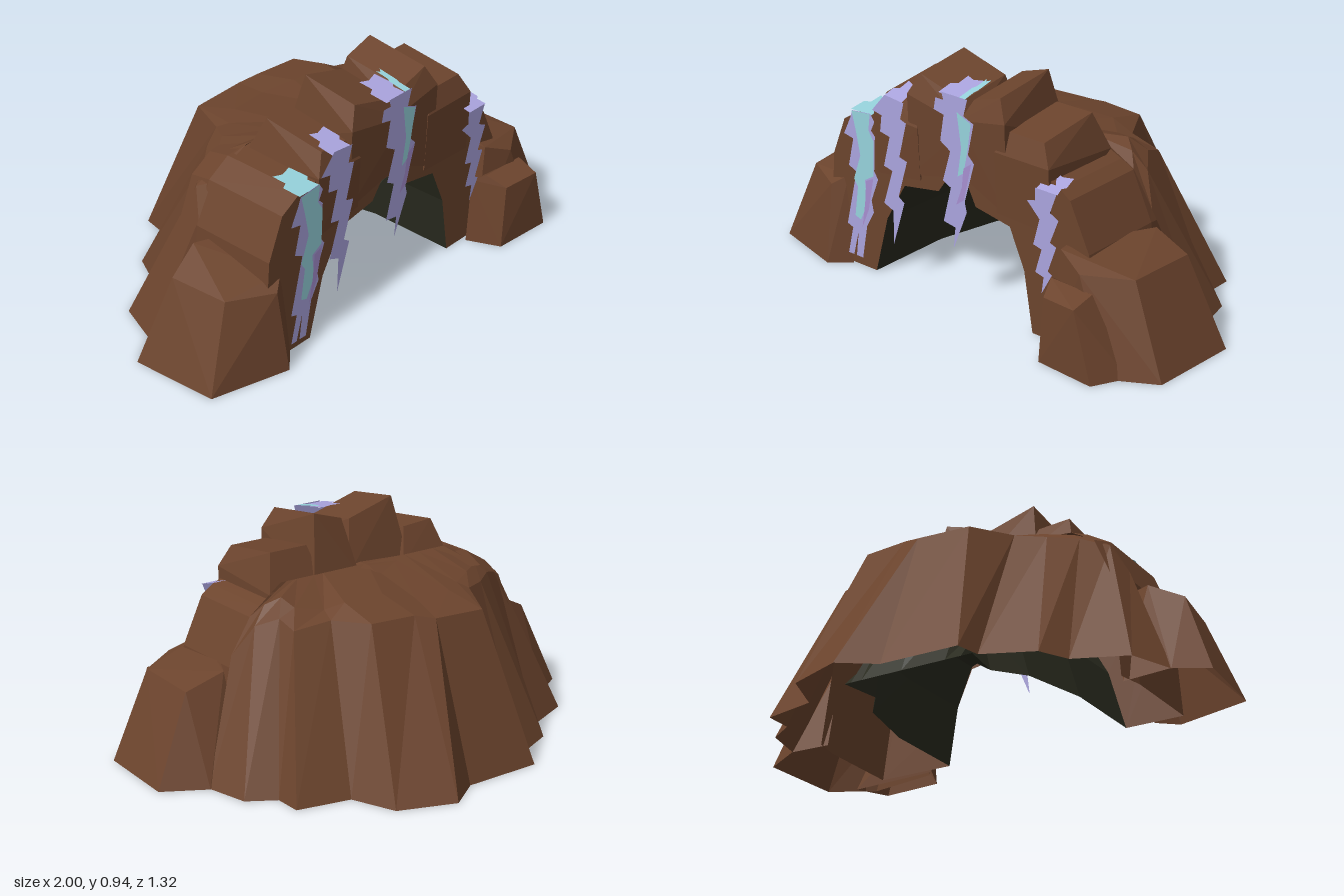
import * as THREE from 'three';
import { ConvexGeometry } from 'three/addons/geometries/ConvexGeometry.js';

const mat = (name, color) => new THREE.MeshStandardMaterial({ name, color, side: THREE.DoubleSide });

export function createModel() {
  const group = new THREE.Group();
  const rockBrown = mat('rock brown', 0x6c442d);
  const caveDark = mat('cave dark', 0x2a2b1f);
  const lavender = mat('lavender vine', 0xaaa4de);
  const teal = mat('teal vine', 0x96d2dc);
  const purple = mat('purple vine', 0xa78fd0);

  const add = (name, geo, material) => {
    const mesh = new THREE.Mesh(geo, material);
    mesh.name = name;
    group.add(mesh);
    return mesh;
  };

  const fromTriangles = (numbers) => {
    const geo = new THREE.BufferGeometry();
    geo.setAttribute('position', new THREE.Float32BufferAttribute(numbers, 3));
    geo.computeVertexNormals();
    return geo;
  };

  // Flat-shaded skin stretched over rows of equal length
  const loft = (rows) => {
    const out = [];
    for (let r = 0; r < rows.length - 1; r++) {
      for (let i = 0; i < rows[r].length - 1; i++) {
        const a = rows[r][i], b = rows[r][i + 1];
        const c = rows[r + 1][i + 1], d = rows[r + 1][i];
        out.push(...a, ...d, ...b, ...b, ...d, ...c);
      }
    }
    return fromTriangles(out);
  };

  const shapeOf = (pts) => new THREE.Shape(pts.map(([x, y]) => new THREE.Vector2(x, y)));

  // Front arch: a face with the cave mouth cut out, and a skin running back into the mound
  const opening = [[0.37, 0], [0.33, 0.25], [0.26, 0.41], [0.09, 0.44], [0.05, 0.52],
    [-0.05, 0.52], [-0.1, 0.45], [-0.28, 0.42], [-0.38, 0.25], [-0.45, 0]];
  const outline = [[-0.7, 0], [-0.67, 0.45], [-0.6, 0.62], [-0.5, 0.68], [-0.4, 0.69], [0.0, 0.71],
    [0.44, 0.66], [0.5, 0.635], [0.55, 0.6], [0.64, 0.41], [0.7, 0]];
  const face = add('archFace', new THREE.ShapeGeometry(shapeOf([...outline, ...opening])), rockBrown);
  face.position.z = 0.48;
  const skinRows = [[0.48, 1, 1], [0.11, 1, 1], [0, 0.97, 0.95]]
    .map(([z, sx, sy]) => outline.map(([x, y]) => [x * sx, y * sy, z]));
  add('archSkin', loft(skinRows), rockBrown);

  // Ribbed mound behind the arch: ground line, rim, shelf, plateau
  const moundBase = [[-0.87, 0.04], [-0.8, -0.15], [-0.59, -0.24], [-0.53, -0.36], [-0.33, -0.45],
    [-0.31, -0.555], [0.02, -0.56], [0.16, -0.66], [0.39, -0.575], [0.46, -0.39],
    [0.68, -0.345], [0.68, -0.23], [0.79, -0.16], [0.83, 0.02]].map(([x, z]) => [x, 0, z]);
  const moundRim = [[-0.67, 0.48, 0.12], [-0.62, 0.58, 0.06], [-0.52, 0.61, 0], [-0.42, 0.61, -0.08],
    [-0.31, 0.62, -0.14], [-0.22, 0.6, -0.33], [0.01, 0.61, -0.33], [0.09, 0.63, -0.3],
    [0.28, 0.63, -0.28], [0.36, 0.62, -0.13], [0.51, 0.6, -0.1], [0.52, 0.63, -0.02],
    [0.58, 0.59, 0.06], [0.65, 0.47, 0.12]];
  const moundShelf = [[-0.6, 0.61, 0.12], [-0.56, 0.63, 0.08], [-0.48, 0.65, 0.03], [-0.38, 0.65, -0.04],
    [-0.28, 0.64, -0.1], [-0.19, 0.64, -0.16], [-0.02, 0.64, -0.17], [0.1, 0.67, -0.11],
    [0.28, 0.67, -0.11], [0.34, 0.64, -0.06], [0.45, 0.66, -0.02], [0.47, 0.69, 0.04],
    [0.52, 0.66, 0.08], [0.56, 0.61, 0.12]];
  const moundTop = moundShelf.map(([x]) => [x * 0.72, 0.71, 0.14]);
  add('mound', loft([moundBase, moundRim, moundShelf, moundTop]), rockBrown);

  // Hollow interior reaching back to the ground line
  const caveProfile = [[0.37, 0], [0.33, 0.25], [0.26, 0.42], [0, 0.53], [-0.28, 0.43], [-0.38, 0.25], [-0.45, 0]];
  const caveRows = [[0.48, 1, 1], [0.1, 1, 0.98], [-0.18, 0.85, 0.92], [-0.3, 0.62, 0.75], [-0.47, 0.68, 0]]
    .map(([z, sx, sy]) => caveProfile.map(([x, y]) => [(x + 0.04) * sx - 0.04, y * sy, z]));
  add('caveInterior', loft(caveRows), caveDark);

  // Boulder shell: hull of a few corners, open underneath and where it is buried in the mound
  const boulder = (name, pts) => {
    const hull = new ConvexGeometry(pts.map((p) => new THREE.Vector3(...p))).attributes.position;
    const kept = [];
    const tri = new THREE.Triangle();
    const normal = new THREE.Vector3();
    const mid = new THREE.Vector3();
    for (let i = 0; i < hull.count; i += 3) {
      tri.setFromAttributeAndIndices(hull, i, i + 1, i + 2);
      tri.getNormal(normal);
      tri.getMidpoint(mid);
      const inward = normal.x * Math.sign(mid.x) < -0.6 && mid.z < 0.45 && mid.y < 0.4;
      if (normal.y < -0.95 || inward) continue;
      for (const v of [tri.a, tri.b, tri.c]) kept.push(v.x, v.y, v.z);
    }
    add(name, fromTriangles(kept), rockBrown);
  };

  boulder('rightFrontBoulder', [[-1, 0, 0.11], [-0.97, 0, 0.47], [-0.65, 0, 0.56], [-0.57, 0, 0.49], [-0.66, 0, 0.05],
    [-0.87, 0, 0.03], [-0.87, 0.35, 0.18], [-0.84, 0.34, 0.42], [-0.66, 0.33, 0.51], [-0.6, 0.37, 0.47],
    [-0.73, 0.42, 0.15], [-0.6, 0.42, 0.2]]);
  boulder('leftFrontBoulder', [[1, 0, 0.11], [0.98, 0, 0.48], [0.8, 0, 0.58], [0.5, 0, 0.53], [0.66, 0, 0.02], [0.83, 0, 0.01],
    [0.84, 0.355, 0.15], [0.83, 0.36, 0.45], [0.66, 0.37, 0.56], [0.54, 0.42, 0.52], [0.53, 0.42, 0.45], [0.68, 0.41, 0.13]]);
  boulder('leftFootStone', [[0.79, 0, 0.655], [0.53, 0, 0.635], [0.47, 0, 0.5], [0.86, 0, 0.52],
    [0.71, 0.28, 0.655], [0.55, 0.27, 0.63], [0.52, 0.31, 0.55], [0.72, 0.31, 0.56], [0.49, 0.28, 0.5]]);

  // Crown stones: [x0, x1, top at x0, top at x1, bottom at x0, bottom at x1, back z]
  [[-0.42, -0.19, 0.82, 0.81, 0.44, 0.47, 0.13], [-0.24, 0.06, 0.94, 0.88, 0.48, 0.55, 0.16],
    [0.03, 0.25, 0.9, 0.94, 0.55, 0.45, 0.13], [0.2, 0.46, 0.82, 0.82, 0.45, 0.44, 0.13]
  ].forEach(([x0, x1, t0, t1, b0, b1, back], i) => {
    const inset = 0.045;
    boulder('crownStone' + (i + 1), [
      [x0, b0, 0.485], [x1, b1, 0.485], [x0, t0 - 0.12, 0.495], [x1, t1 - 0.12, 0.495],
      [x0 + inset, t0 - 0.035, 0.465], [x1 - inset, t1 - 0.035, 0.465],
      [x0 + inset, t0, back + 0.06], [x1 - inset, t1, back + 0.06],
      [x0, 0.67, back], [x1, 0.67, back]]);
  });

  // Hanging vines: jagged flat sheets
  const sheet = (name, material, z, pts) => {
    const mesh = add(name, new THREE.ShapeGeometry(shapeOf(pts)), material);
    mesh.position.z = z;
    return mesh;
  };
  sheet('vineFarRight', lavender, 0.505, [[-0.53, 0.68], [-0.43, 0.69], [-0.41, 0.66], [-0.43, 0.62], [-0.41, 0.6],
    [-0.42, 0.45], [-0.4, 0.42], [-0.44, 0.32], [-0.43, 0.27], [-0.47, 0.2], [-0.5, 0.05], [-0.535, 0.05],
    [-0.52, 0.16], [-0.55, 0.05], [-0.58, 0.05], [-0.55, 0.17], [-0.58, 0.18], [-0.52, 0.42], [-0.56, 0.44],
    [-0.53, 0.56], [-0.58, 0.57], [-0.54, 0.65]]);
  sheet('vineFarRightTeal', teal, 0.509, [[-0.53, 0.68], [-0.43, 0.69], [-0.44, 0.62], [-0.415, 0.58], [-0.42, 0.43],
    [-0.47, 0.4], [-0.46, 0.3], [-0.5, 0.22], [-0.53, 0.23], [-0.51, 0.36], [-0.53, 0.39], [-0.49, 0.5], [-0.51, 0.6]]);
  sheet('vineFarRightPurple', purple, 0.512, [[-0.46, 0.4], [-0.42, 0.42], [-0.45, 0.28], [-0.49, 0.19], [-0.47, 0.3]]);
  sheet('vineRight', lavender, 0.505, [[-0.35, 0.79], [-0.25, 0.78], [-0.27, 0.71], [-0.24, 0.7], [-0.28, 0.55],
    [-0.24, 0.54], [-0.29, 0.38], [-0.26, 0.36], [-0.325, 0.16], [-0.32, 0.31], [-0.37, 0.33], [-0.32, 0.48],
    [-0.365, 0.49], [-0.33, 0.62], [-0.38, 0.63], [-0.37, 0.7], [-0.42, 0.71]]);
  sheet('vineMiddle', lavender, 0.508, [[-0.05, 0.88], [0.08, 0.88], [0.06, 0.81], [0.11, 0.79], [0.08, 0.66],
    [0.11, 0.63], [0.06, 0.46], [0.07, 0.42], [0.0, 0.25], [0.01, 0.34], [-0.05, 0.35], [-0.01, 0.5],
    [-0.05, 0.52], [-0.01, 0.65], [-0.06, 0.68], [-0.04, 0.79], [-0.09, 0.8], [-0.08, 0.85], [-0.04, 0.85]]);
  sheet('vineMiddleTeal', teal, 0.512, [[0.03, 0.82], [0.1, 0.79], [0.08, 0.67], [0.06, 0.58], [0.03, 0.56], [0.05, 0.68]]);
  sheet('vineMiddlePurple', purple, 0.512, [[0.06, 0.6], [0.1, 0.63], [0.06, 0.47], [0.02, 0.44], [0.05, 0.52]]);
  sheet('vineLeft', lavender, 0.522, [[0.42, 0.63], [0.52, 0.63], [0.49, 0.55], [0.53, 0.53], [0.49, 0.43],
    [0.52, 0.42], [0.48, 0.31], [0.5, 0.3], [0.45, 0.21], [0.46, 0.28], [0.42, 0.29], [0.45, 0.39],
    [0.41, 0.4], [0.44, 0.51], [0.38, 0.57], [0.42, 0.58]]);

  // Jagged vine tops folded back over the stone: [name, material, x, front y, front z, width, depth, rise]
  const ragged = [[-0.5, 0], [0.5, 0], [0.4, 0.35], [0.55, 0.45], [0.45, 1], [0, 0.9], [-0.35, 1], [-0.3, 0.6], [-0.55, 0.5]];
  [['vineTopFarRight', teal, -0.48, 0.685, 0.505, 0.11, 0.15, 0.014],
    ['vineTopRight', lavender, -0.31, 0.78, 0.505, 0.1, 0.13, 0.03],
    ['vineTopMiddle', lavender, -0.01, 0.875, 0.508, 0.11, 0.15, 0.025],
    ['vineTopMiddleTeal', teal, 0.055, 0.88, 0.508, 0.03, 0.15, 0.03],
    ['vineTopLeft', lavender, 0.475, 0.63, 0.522, 0.1, 0.1, 0.03]
  ].forEach(([name, material, x, y, z, width, depth, rise]) => {
    const top = sheet(name, material, z, ragged.map(([u, v]) => [u * width, v * Math.hypot(depth, rise)]));
    top.position.set(x, y, z);
    top.rotation.x = -Math.atan2(depth, rise);
  });

  return group;
}
